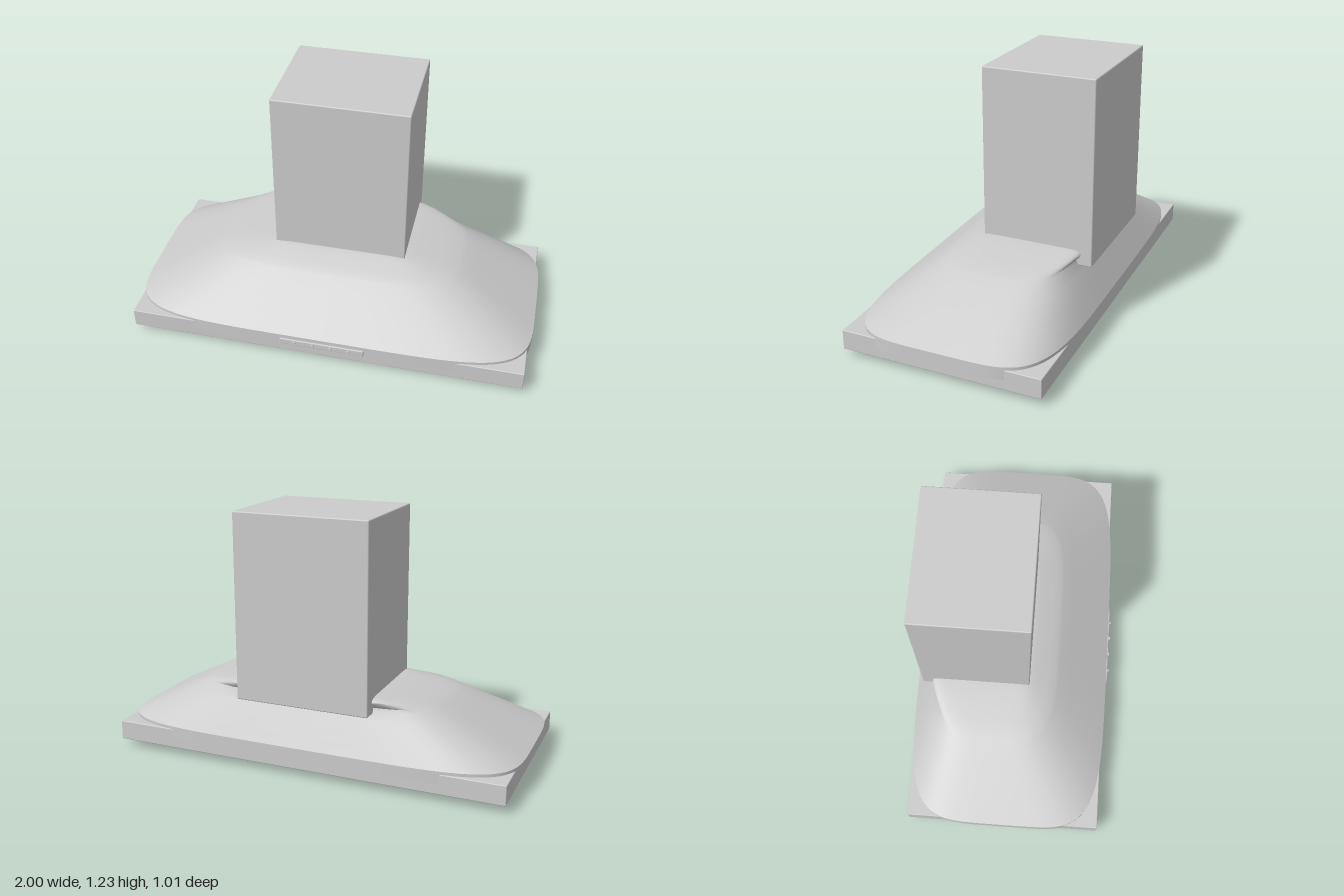
import * as THREE from 'three';
import { toCreasedNormals } from 'three/addons/utils/BufferGeometryUtils.js';
import { RoundedBoxGeometry } from 'three/addons/geometries/RoundedBoxGeometry.js';

const material = new THREE.MeshStandardMaterial({ color: 0xcccccc, roughness: 0.6 });

function add(parent, name, geometry, x = 0, y = 0, z = 0) {
  const mesh = new THREE.Mesh(geometry, material);
  mesh.name = name;
  mesh.position.set(x, y, z);
  parent.add(mesh);
  return mesh;
}

// Box given by its limits on each axis, with slightly rounded edges
function block(parent, name, [x0, x1], [y0, y1], [z0, z1], r = 0.004) {
  const geometry = new RoundedBoxGeometry(x1 - x0, y1 - y0, z1 - z0, 2, r);
  return add(parent, name, geometry, (x0 + x1) / 2, (y0 + y1) / 2, (z0 + z1) / 2);
}

// Skin over superellipse rings, each [y, halfWidth, zBack, zFront, squareness]
function loft(rings, segments = 120) {
  const positions = [], index = [];
  for (const [y, hx, zb, zf, n] of rings) {
    for (let i = 0; i < segments; i++) {
      const a = (i / segments) * Math.PI * 2, c = Math.cos(a), s = Math.sin(a);
      const px = Math.sign(c) * Math.abs(c) ** (2 / n);
      const pz = Math.sign(s) * Math.abs(s) ** (2 / n);
      positions.push(px * hx, y, (zb + zf) / 2 + (pz * (zf - zb)) / 2);
    }
  }
  for (let r = 0; r < rings.length - 1; r++) {
    for (let i = 0; i < segments; i++) {
      const j = (i + 1) % segments, a = r * segments, b = a + segments;
      index.push(a + i, b + i, a + j, a + j, b + i, b + j);
    }
  }
  const geometry = new THREE.BufferGeometry();
  geometry.setAttribute('position', new THREE.Float32BufferAttribute(positions, 3));
  geometry.setIndex(index);
  return toCreasedNormals(geometry, 0.7);
}

export function createModel() {
  const group = new THREE.Group();
  group.name = 'rangeHood';

  // Main volumes
  block(group, 'baseFrame', [-0.98, 0.98], [0.037, 0.133], [-0.485, 0.48]);
  block(group, 'chimney', [-0.33, 0.33], [0.33, 1.225], [-0.455, 0.09], 0.006);

  // Bowed rim that pokes through the middle of each side of the frame
  add(group, 'canopyRim', loft([
    [0.087, 0.002, -0.002, 0.002, 5],
    [0.087, 1, -0.5, 0.492, 5],
    [0.147, 1, -0.5, 0.492, 5],
  ]));

  // Canopy sweeping up to the chimney, with a rolled lip at the back
  add(group, 'canopy', loft([
    [0.147, 1, -0.5, 0.492, 5],
    [0.2, 0.9, -0.47, 0.425, 4.8],
    [0.252, 0.8, -0.441, 0.358, 4.6],
    [0.304, 0.7, -0.412, 0.291, 4.4],
    [0.345, 0.62, -0.389, 0.238, 4.3],
    [0.357, 0.59, -0.386, 0.22, 4.4],
    [0.372, 0.52, -0.402, 0.182, 4.8],
    [0.386, 0.455, -0.411, 0.148, 5.5],
    [0.398, 0.385, -0.408, 0.115, 7],
    [0.406, 0.33, -0.39, 0.088, 10],
    [0.41, 0.25, -0.35, 0.04, 10],
    [0.41, 0.002, -0.152, -0.148, 10],
  ]));

  // Control panel with four buttons
  const controls = new THREE.Group();
  controls.name = 'controls';
  group.add(controls);
  block(controls, 'controlPanel', [-0.21, 0.21], [0.095, 0.127], [0.47, 0.499]);
  for (const x of [-0.135, -0.045, 0.045, 0.135]) {
    add(controls, 'button', new THREE.CylinderGeometry(0.009, 0.009, 0.012, 20), x, 0.111, 0.5)
      .rotation.x = Math.PI / 2;
  }

  // Underside: tray, two slatted filters and two front lamps
  block(group, 'filterTray', [-0.83, 0.83], [0.023, 0.045], [-0.3, 0.36]);
  for (const side of [-1, 1]) {
    const filter = new THREE.Group();
    filter.name = side > 0 ? 'leftFilter' : 'rightFilter';
    group.add(filter);
    const span = [0.045, 0.8].map((v) => v * side).sort((a, b) => a - b);
    block(filter, 'filterPanel', span, [0.01, 0.02], [-0.255, 0.28], 0.002);
    block(filter, 'filterBacking', span.map((v) => v * 0.99), [0.018, 0.026], [-0.24, 0.27], 0.002);
    for (let i = 0; i < 12; i++) {
      const x = side * (0.09 + i * 0.06);
      block(filter, 'slat', [x - 0.01, x + 0.01], [0, 0.012], [-0.22, 0.25], 0.004);
    }
    add(group, 'lamp', new THREE.CylinderGeometry(0.05, 0.045, 0.018, 32), side * 0.785, 0.015, 0.31);
    add(group, 'lampLens', new THREE.CylinderGeometry(0.034, 0.03, 0.004, 32), side * 0.785, 0.005, 0.31);
  }

  return group;
}
